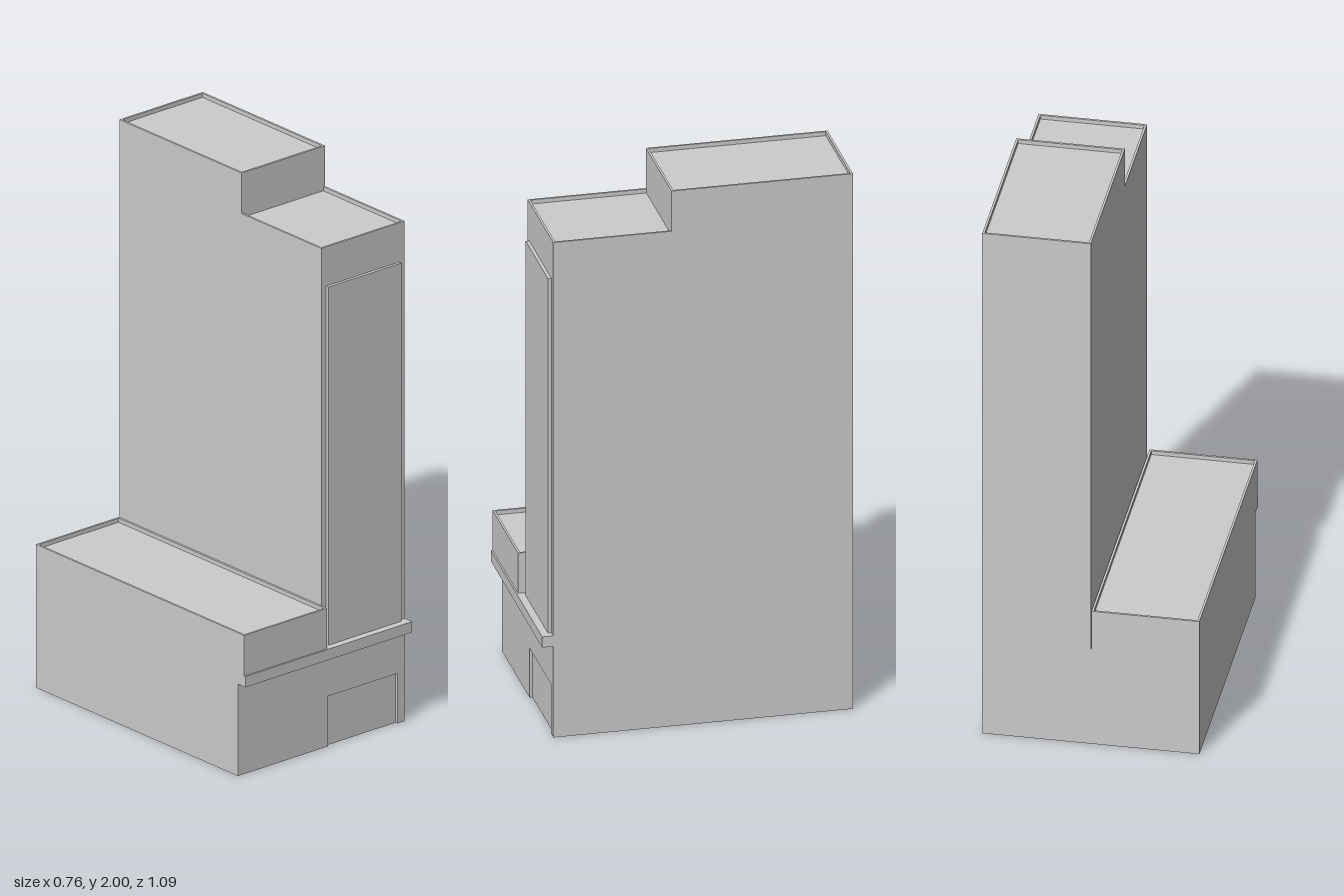
import * as THREE from 'three';

const material = new THREE.MeshStandardMaterial({ color: 0xcccccc, side: THREE.DoubleSide });

// Main dimensions
const W = 0.378, BACK = -0.547, FRONT = 0.508;
const LEDGE = 0.547, BLOCK = 0.541, STEP = 0.092;
const RIM = 0.008, DROP = 0.015;

// Box side order used by BoxGeometry
const SIDES = ['right', 'left', 'top', 'bottom', 'front', 'back'];

export function createModel() {
  const model = new THREE.Group();
  model.name = 'building';

  function add(name, geometry, parent = model) {
    const mesh = new THREE.Mesh(geometry, material);
    mesh.name = name;
    parent.add(mesh);
    return mesh;
  }

  // Thin-walled box between two corners, with some sides left open
  function shell(name, [x0, x1], [y0, y1], [z0, z1], open = [], parent = model) {
    const g = new THREE.BoxGeometry(x1 - x0, y1 - y0, z1 - z0);
    const all = Array.from(g.index.array);
    const kept = SIDES.flatMap((s, i) => (open.includes(s) ? [] : all.slice(i * 6, i * 6 + 6)));
    g.setIndex(kept);
    g.clearGroups();
    g.translate((x0 + x1) / 2, (y0 + y1) / 2, (z0 + z1) / 2);
    return add(name, g, parent);
  }

  const rect = (C, x0, x1, y0, y1) => new C([
    new THREE.Vector2(x0, y0), new THREE.Vector2(x1, y0),
    new THREE.Vector2(x1, y1), new THREE.Vector2(x0, y1)]);

  // Sunken flat roof with a narrow parapet rim
  function roof(name, [x0, x1], top, [z0, z1], backRim = RIM) {
    const group = new THREE.Group();
    group.name = name;
    model.add(group);
    const inX = [x0 + RIM, x1 - RIM], inZ = [z0 + backRim, z1 - RIM];
    const rim = new THREE.Shape();
    rim.moveTo(x0, -z1).lineTo(x1, -z1).lineTo(x1, -z0);
    if (backRim > 0) {
      rim.lineTo(x0, -z0).closePath();
      rim.holes.push(rect(THREE.Path, ...inX, -inZ[1], -inZ[0]));
    } else {
      // Three-sided rim that stops against the wall behind it
      rim.lineTo(inX[1], -z0).lineTo(inX[1], -inZ[1]).lineTo(inX[0], -inZ[1])
        .lineTo(inX[0], -z0).lineTo(x0, -z0).closePath();
    }
    const g = new THREE.ShapeGeometry(rim).rotateX(-Math.PI / 2).translate(0, top, 0);
    add('parapetRim', g, group);
    shell('roofDeck', inX, [top - DROP, top], inZ, ['top'], group);
  }

  // Ground floor: walls, and a front with a recessed doorway
  shell('groundFloorWalls', [-W, W], [0, 0.38], [BACK, FRONT], ['top', 'bottom', 'front']);
  const frontWall = new THREE.Shape();
  frontWall.moveTo(-W, 0).lineTo(0.03, 0).lineTo(0.03, 0.185).lineTo(0.345, 0.185)
    .lineTo(0.345, 0).lineTo(W, 0).lineTo(W, 0.34).lineTo(-W, 0.34).closePath();
  add('groundFloorFront', new THREE.ShapeGeometry(frontWall).translate(0, 0, FRONT));
  shell('doorway', [0.03, 0.345], [0, 0.185], [FRONT - 0.01, FRONT], ['front', 'bottom']);

  // Ledge across the front
  shell('ledge', [-W, W], [0.34, 0.38], [FRONT, LEDGE], ['back']);

  // Low block beside the tower
  shell('lowBlock', [-W, -0.002], [0.38, 0.53], [BACK, BLOCK], ['top', 'bottom', 'right']);
  shell('lowBlockReturn', [-0.01, -0.002], [0.38, 0.53], [FRONT, BLOCK]);
  roof('lowBlockRoof', [-W, -0.002], 0.53, [BACK, BLOCK]);

  // Tower with a raised rear part
  shell('tower', [0, W], [0.38, 1.85], [BACK, FRONT], ['top', 'bottom']);
  roof('towerRoof', [0, W], 1.85, [STEP, FRONT], 0);
  shell('upperTower', [0, W], [1.85 - DROP, 2], [BACK, STEP], ['top', 'bottom']);
  roof('upperTowerRoof', [0, W], 2, [BACK, STEP]);

  // Tall raised panel on the tower front
  shell('frontPanel', [0.022, 0.352], [0.38, 1.705], [FRONT, FRONT + 0.012], ['back']);

  return model;
}
